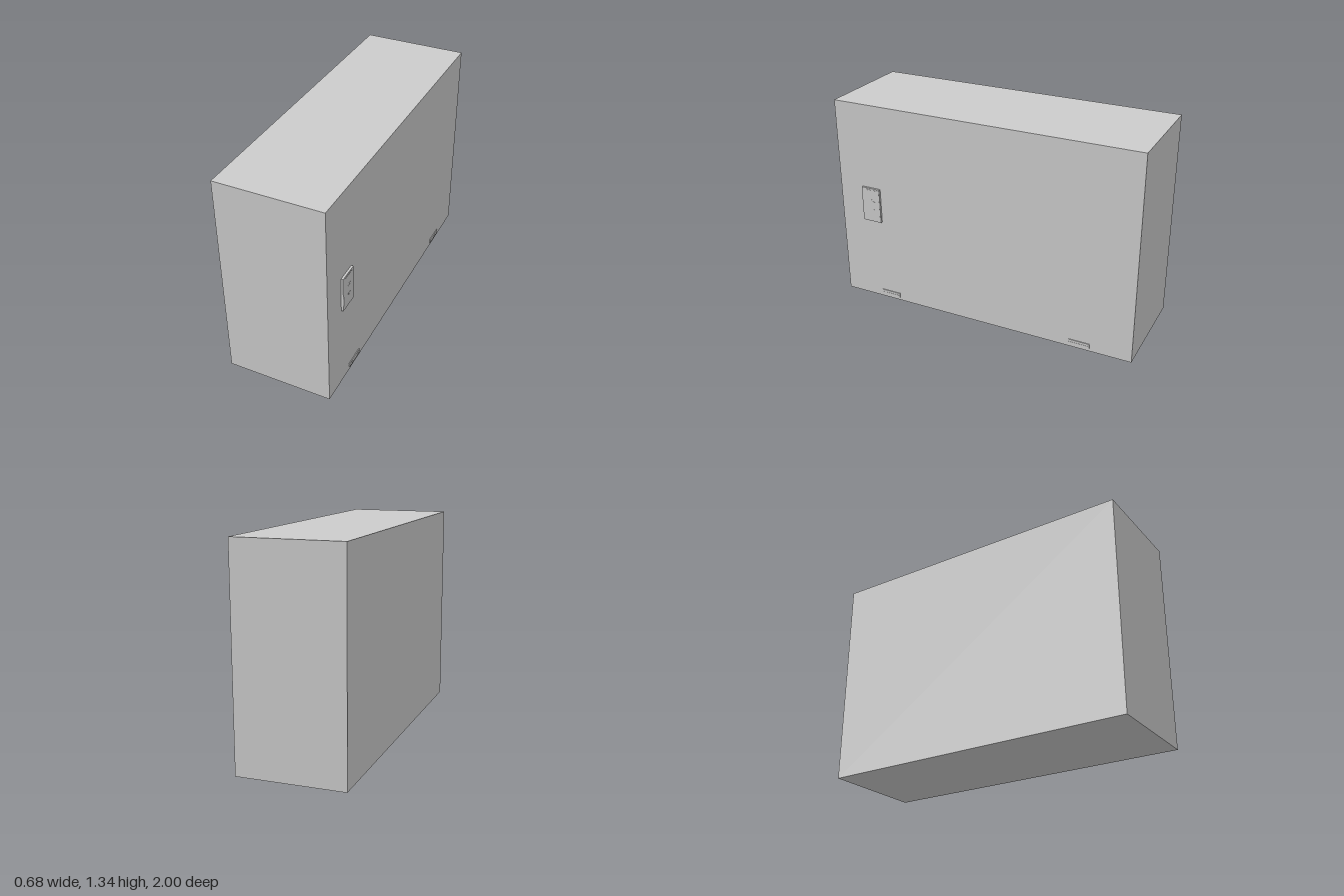
import * as THREE from 'three';

const SIDE = 0.325; // x of the cabinet face that carries the fittings

export function createModel() {
  const model = new THREE.Group();
  const material = new THREE.MeshStandardMaterial({ color: 0xcccccc, flatShading: true });

  // Adds a box given by its lower and upper limits on each axis
  function addBox(parent, name, [x0, x1], [y0, y1], [z0, z1]) {
    const mesh = new THREE.Mesh(new THREE.BoxGeometry(x1 - x0, y1 - y0, z1 - z0), material);
    mesh.position.set((x0 + x1) / 2, (y0 + y1) / 2, (z0 + z1) / 2);
    mesh.name = name;
    parent.add(mesh);
  }

  // Cabinet body
  addBox(model, 'cabinetBody', [-0.34, SIDE], [0, 1.335], [-1, 1]);

  // Control panel: housing, raised cover plate and small indicator bars
  const panel = new THREE.Group();
  panel.name = 'controlPanel';
  model.add(panel);
  addBox(panel, 'panelHousing', [SIDE, 0.338], [0.555, 0.785], [0.705, 0.835]);
  addBox(panel, 'panelCover', [0.338, 0.339], [0.59, 0.778], [0.709, 0.831]);
  addBox(panel, 'panelSlot', [0.339, 0.34], [0.765, 0.773], [0.728, 0.815]);
  for (const [y, width] of [[0.705, 0.025], [0.693, 0.035], [0.637, 0.03], [0.625, 0.012]]) {
    addBox(panel, 'indicatorBar', [0.339, 0.34], [y - 0.003, y + 0.003], [0.76 - width / 2, 0.76 + width / 2]);
  }

  // Pair of low two-leaf hinges, mirrored front to back
  for (const s of [1, -1]) {
    const hinge = new THREE.Group();
    hinge.name = s > 0 ? 'frontHinge' : 'rearHinge';
    model.add(hinge);
    const span = s > 0 ? [0.6, 0.735] : [-0.735, -0.6];
    addBox(hinge, 'lowerLeaf', [SIDE, 0.33], [0.02, 0.0345], span);
    addBox(hinge, 'upperLeaf', [SIDE, 0.33], [0.0355, 0.05], span);
  }

  return model;
}
